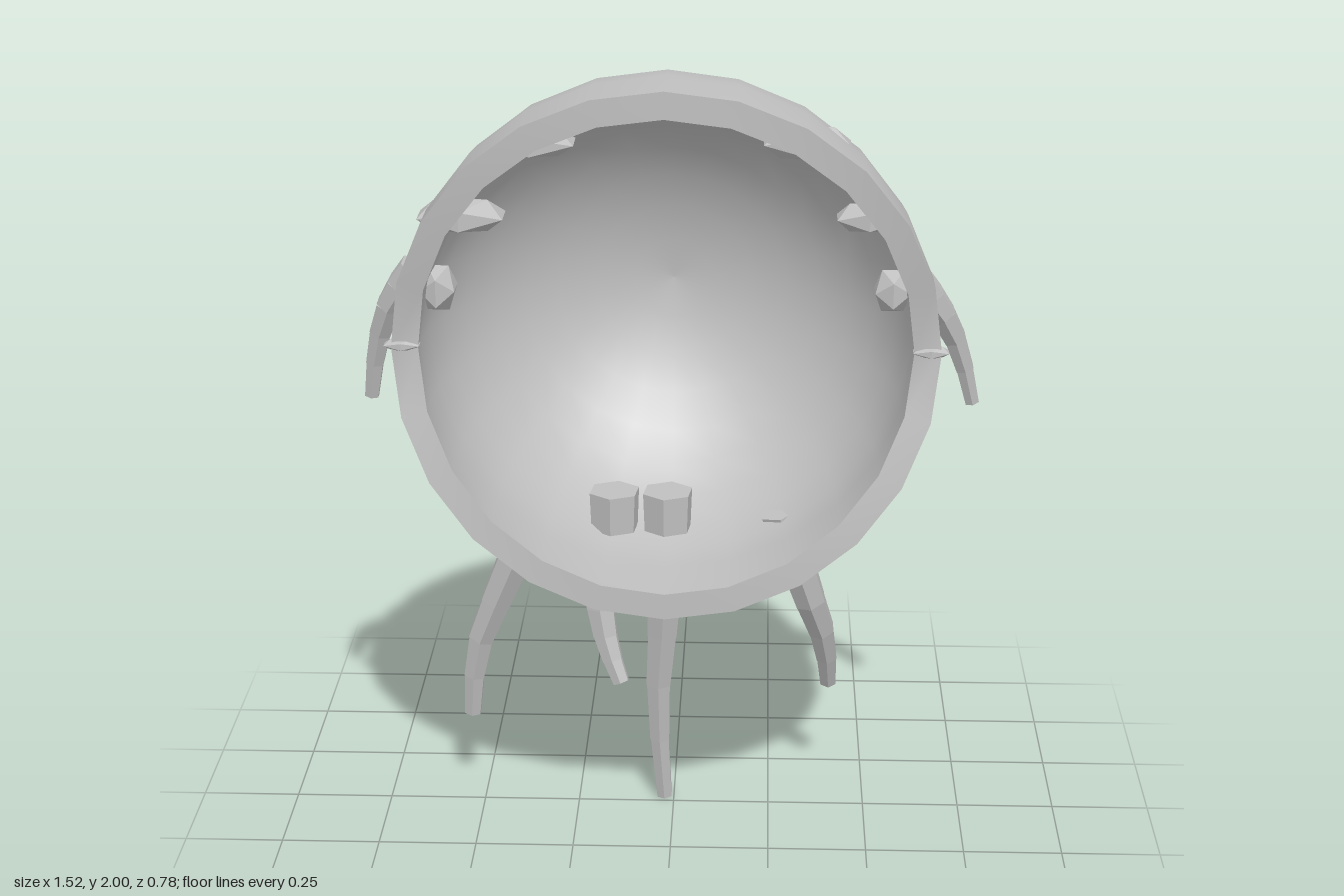
import * as THREE from 'three';

const SIDES = 24, RINGS = 9;
const CX = -0.01, CY = 1.35, CZ = 0.22;

export function createModel() {
  const root = new THREE.Group();
  const grey = new THREE.MeshStandardMaterial({ color: 0xc0c0c0 });

  const add = (geometry, name, parent = root) => {
    const mesh = new THREE.Mesh(geometry, grey);
    mesh.name = name;
    parent.add(mesh);
    return mesh;
  };
  const faceted = (g) => {
    const flat = g.index ? g.toNonIndexed() : g;
    flat.computeVertexNormals();
    return flat;
  };

  // Surface through closed rings; neighbours share vertices, so it shades smoothly
  const skin = (rings) => {
    const index = [];
    for (let i = 0; i < rings.length - 1; i++) {
      for (let j = 0; j < SIDES; j++) {
        const a = i * SIDES + j, b = i * SIDES + (j + 1) % SIDES;
        index.push(a, b, a + SIDES, b, b + SIDES, a + SIDES);
      }
    }
    const g = new THREE.BufferGeometry().setFromPoints(rings.flat());
    g.setIndex(index);
    g.computeVertexNormals();
    return g;
  };

  // The rim dips back at the sides and reaches forward at top and bottom
  const rimZ = (a) => 0.28 + 0.11 * Math.abs(Math.sin(a));
  const ring = (t, inset) => Array.from({ length: SIDES }, (_, j) => {
    const a = j / SIDES * Math.PI * 2;
    const r = Math.max(Math.sin(Math.min(t, 1) * Math.PI / 2), 0.001);
    const back = CZ - (0.61 - inset) * Math.cos(Math.min(t, 1) * Math.PI / 2);
    const z = t > 1 ? rimZ(a) : back;
    return new THREE.Vector3(
      CX + Math.cos(a) * r * (0.655 - inset),
      CY + Math.sin(a) * r * (0.65 - inset), z);
  });
  const bowl = (inset) => Array.from({ length: RINGS + 2 }, (_, i) => ring(i / RINGS, inset));

  // Hollow shell: outside, rim and inside
  const shell = new THREE.Group();
  shell.name = 'shell';
  root.add(shell);
  const outer = bowl(0), inner = bowl(0.065);
  add(skin(outer), 'shellOutside', shell);
  add(skin([outer.at(-1), inner.at(-1)]), 'shellRim', shell);
  add(skin(inner.reverse()), 'shellInside', shell);

  // Jointed limb of tapering hexagonal segments along a curve
  const up = new THREE.Vector3(0, 1, 0);
  const limb = (name, points, r0, r1, count) => {
    const group = new THREE.Group();
    group.name = name;
    root.add(group);
    const path = new THREE.CatmullRomCurve3(points.map((p) => new THREE.Vector3(...p)));
    const radius = (t) => r0 + (r1 - r0) * t;
    for (let i = 0; i < count; i++) {
      const a = path.getPoint(i / count), b = path.getPoint((i + 1) / count);
      const g = new THREE.CylinderGeometry(
        radius(i / count), radius((i + 0.8) / count), a.distanceTo(b) * 1.04, 6);
      const part = add(faceted(g), name + 'Segment', group);
      part.position.lerpVectors(a, b, 0.5);
      part.quaternion.setFromUnitVectors(up, a.clone().sub(b).normalize());
    }
  };
  limb('rightLeg', [[-0.34, 0.86, 0.06], [-0.44, 0.62, 0.02], [-0.51, 0.43, -0.01], [-0.53, 0.24, -0.03]], 0.054, 0.022, 5);
  limb('leftLeg', [[0.27, 0.86, 0.07], [0.34, 0.63, 0.03], [0.39, 0.46, -0.04], [0.405, 0.305, -0.11]], 0.054, 0.022, 5);
  limb('middleLeg', [[-0.015, 0.77, 0.06], [-0.025, 0.55, 0.03], [-0.04, 0.3, 0], [-0.025, 0.005, -0.03]], 0.056, 0.02, 5);
  limb('frontLeg', [[-0.18, 0.78, 0.06], [-0.185, 0.62, 0.08], [-0.165, 0.5, 0.1], [-0.13, 0.405, 0.125]], 0.05, 0.021, 5);
  limb('rightArm', [[-0.62, 1.5, 0.13], [-0.68, 1.42, 0.11], [-0.725, 1.3, 0.075], [-0.75, 1.15, 0.05]], 0.045, 0.018, 5);
  limb('leftArm', [[0.59, 1.48, 0.13], [0.645, 1.41, 0.11], [0.7, 1.3, 0.075], [0.74, 1.15, 0.05]], 0.045, 0.018, 5);

  // Flattened rough lumps piercing the shell wall
  const lump = (name, x, y, z, sx, sy, sz) => {
    const g = new THREE.IcosahedronGeometry(1, 0);
    g.scale(sx, sy, sz);
    add(faceted(g), name).position.set(x, y, z);
  };
  [
    [-0.33, 1.83, 0.18, 0.12, 0.04, 0.08],
    [0.32, 1.83, 0.17, 0.12, 0.045, 0.06],
    [-0.5, 1.65, 0.18, 0.12, 0.045, 0.08],
    [0.47, 1.65, 0.17, 0.09, 0.04, 0.06],
    [-0.56, 1.47, 0.18, 0.05, 0.065, 0.07],
    [0.53, 1.47, 0.17, 0.05, 0.06, 0.06],
    [-0.13, 1.92, 0.18, 0.1, 0.03, 0.06],
    [0.1, 1.92, 0.18, 0.09, 0.03, 0.06],
  ].forEach((p) => lump('tooth', ...p));

  // Small pinched barbs on each side of the rim
  lump('rightRimBarb', -0.64, 1.355, 0.27, 0.05, 0.016, 0.03);
  lump('leftRimBarb', 0.62, 1.35, 0.27, 0.05, 0.016, 0.03);

  // Pair of hexagonal blocks on the shell floor
  for (const x of [-0.147, -0.013]) {
    const g = new THREE.CylinderGeometry(0.066, 0.062, 0.1, 6);
    g.rotateY(Math.PI / 6 + 0.4);
    add(faceted(g), 'floorBlock').position.set(x, 0.855, 0.06);
  }

  return root;
}
